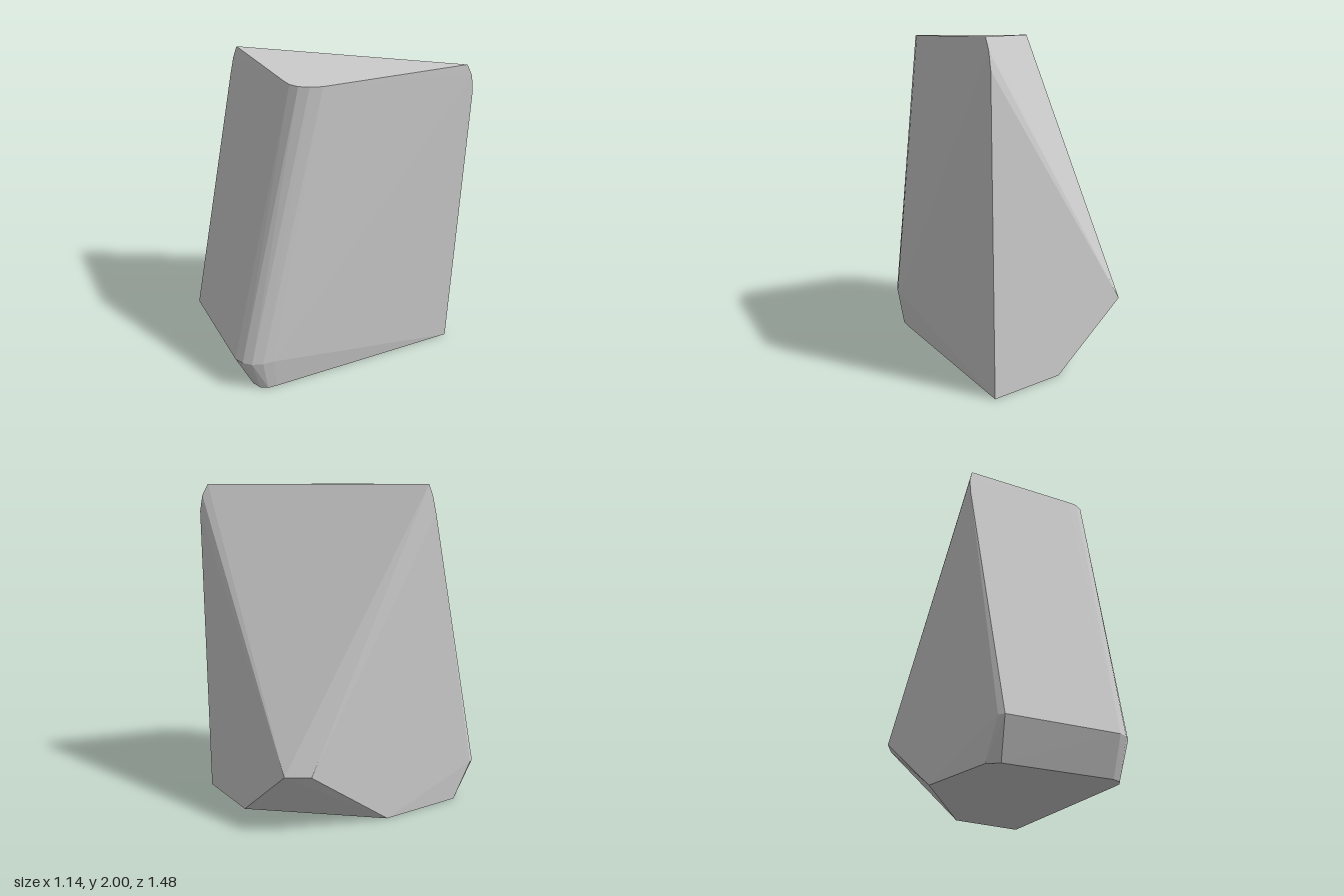
import * as THREE from 'three';
import { ConvexGeometry } from 'three/addons/geometries/ConvexGeometry.js';

// Horizontal section: [x, z] pairs placed at height y
const section = (y, pairs) => pairs.map(([x, z]) => new THREE.Vector3(x, y, z));

export function createModel() {
  const group = new THREE.Group();
  group.name = 'cutStone';

  const corners = [
    // base outline, its back corner cut away on the -x side
    ...section(0, [[0.535, -0.74], [0.04, -0.74], [-0.57, -0.08], [-0.56, 0.46], [-0.5, 0.52],
      [0.18, 0.635], [0.24, 0.62], [0.275, 0.58], [0.29, 0.52]]),
    // widest line of the front, with the rounded front corner
    ...section(0.23, [[-0.57, 0.585], [-0.55, 0.62], [0.15, 0.74], [0.21, 0.723], [0.26, 0.685],
      [0.295, 0.625], [0.312, 0.56]]),
    // low end of the large slanted facet
    ...section(0.375, [[-0.48, -0.74], [-0.57, -0.615]]),
    // bevelled shoulders at both ends of the top ridge
    ...section(1.83, [[0.57, -0.74], [-0.57, 0.255]]),
    ...section(1.93, [[0.569, -0.722], [-0.561, 0.236]]),
    // flat top triangle with the rounded front corner
    ...section(2, [[0.56, -0.685], [-0.54, 0.222], [0.17, 0.343], [0.235, 0.35], [0.29, 0.33],
      [0.335, 0.285], [0.37, 0.22]]),
  ];

  const stone = new THREE.Mesh(
    new ConvexGeometry(corners),
    new THREE.MeshStandardMaterial({ color: 0xcccccc, flatShading: true }),
  );
  stone.name = 'stoneBody';
  group.add(stone);
  return group;
}
